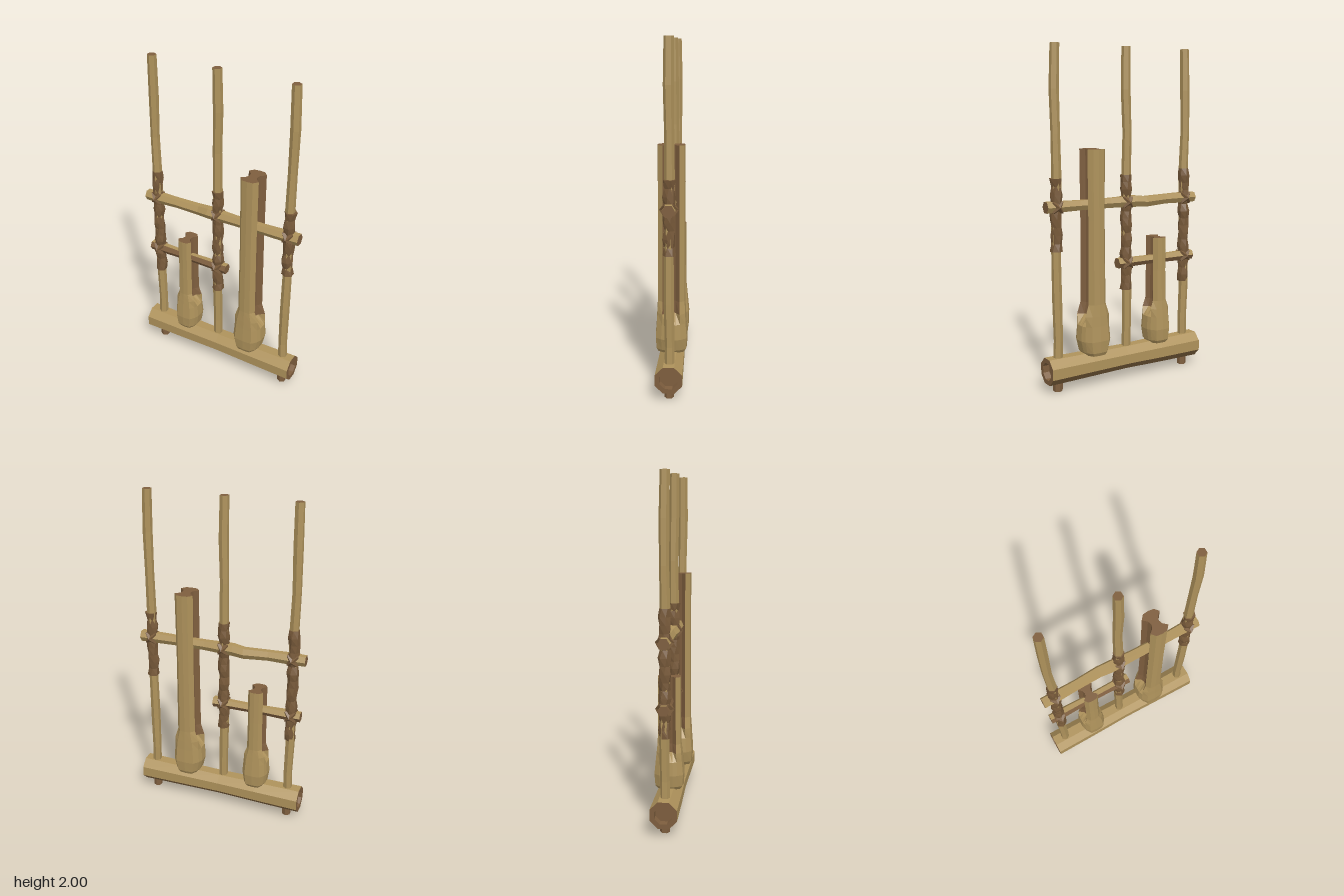
import * as THREE from 'three';

const mat = (name, color) => {
  const m = new THREE.MeshStandardMaterial({ color, flatShading: true });
  m.name = name;
  return m;
};

// Joins rings of points (counter-clockwise seen from above, rising in y) into a
// solid; the caps and the faces picked by isInner(i, k) form the second material group.
function loft(rings, isInner = () => false) {
  const n = rings[0].length;
  const outer = [], inner = [];
  const tri = (list, ...pts) => pts.forEach(p => list.push(p.x, p.y, p.z));
  for (let i = 0; i < rings.length - 1; i++) {
    for (let k = 0; k < n; k++) {
      const a = rings[i][k], b = rings[i][(k + 1) % n];
      const c = rings[i + 1][(k + 1) % n], d = rings[i + 1][k];
      const list = isInner(i, k) ? inner : outer;
      tri(list, a, b, d);
      tri(list, b, c, d);
    }
  }
  const centre = ring => ring.reduce((s, p) => s.add(p), new THREE.Vector3()).divideScalar(n);
  const low = rings[0], high = rings[rings.length - 1];
  const lowC = centre(low), highC = centre(high);
  for (let k = 0; k < n; k++) {
    const j = (k + 1) % n;
    tri(inner, lowC, low[j], low[k]);
    tri(inner, highC, high[k], high[j]);
  }
  const geo = new THREE.BufferGeometry();
  geo.setAttribute('position', new THREE.Float32BufferAttribute([...outer, ...inner], 3));
  geo.addGroup(0, outer.length / 3, 0);
  geo.addGroup(outer.length / 3, inner.length / 3, 1);
  geo.computeVertexNormals();
  return geo;
}

// Slightly crooked six-sided stick through levels of [y, xOffset, zOffset, radius]
function stick(levels, { twist = 0, isInner } = {}) {
  return loft(levels.map(([y, ox, oz, r], i) => Array.from({ length: 6 }, (_, k) => {
    const a = (k / 6) * Math.PI * 2 + i * twist;
    return new THREE.Vector3(ox + r * Math.sin(a), y, oz + r * Math.cos(a));
  })), isInner);
}

// Rattle tube outline: two curved faces with a groove of depth g on each side
function tubeRing([y, w, d, g]) {
  const waist = (full, cut) => full + (cut - full) * g;
  const half = [
    [0, d], [0.6 * w, 0.95 * d], [waist(0.88, 1) * w, 0.6 * d],
    [waist(1, 0.55) * w, 0.3 * d], [waist(1, 0.42) * w, 0], [waist(1, 0.55) * w, -0.3 * d],
    [waist(0.88, 1) * w, -0.6 * d], [0.6 * w, -0.95 * d], [0, -d],
  ];
  const mirrored = half.slice(1, -1).reverse().map(([x, z]) => [-x, z]);
  return [...half, ...mirrored].map(([x, z]) => new THREE.Vector3(x, y, z));
}

export function createModel() {
  const root = new THREE.Group();
  root.name = 'bambooRattle';
  const bamboo = mat('bamboo', 0xae925b);
  const darkBamboo = mat('darkBamboo', 0x836540);
  const cutWood = mat('cutWood', 0x7e5e3e);
  const binding = mat('binding', 0x785a3a);

  const add = (parent, name, geo, material, x = 0, y = 0, z = 0) => {
    const mesh = new THREE.Mesh(geo, material);
    mesh.name = name;
    mesh.position.set(x, y, z);
    parent.add(mesh);
    return mesh;
  };

  // Base tube, a little narrower in the middle, with a darker underside
  const base = new THREE.Group();
  base.name = 'base';
  root.add(base);
  const lathe = pts => new THREE.LatheGeometry(pts.map(p => new THREE.Vector2(...p)), 8, Math.PI / 8)
    .rotateZ(-Math.PI / 2);
  const shell = lathe([[0.083, -0.53], [0.08, -0.25], [0.075, 0], [0.079, 0.25], [0.083, 0.525]]);
  shell.addGroup(0, 72, 1);
  shell.addGroup(72, 120, 0);
  add(base, 'baseTube', shell, [bamboo, darkBamboo], 0, 0.127);
  // Cut ends with hollow pockets
  add(base, 'baseEnds', lathe([
    [0.083, 0.525], [0.054, 0.525], [0.054, 0.485], [0, 0.485],
    [0, -0.485], [0.054, -0.485], [0.054, -0.53], [0.083, -0.53],
  ]), cutWood, 0, 0.127);

  // Upright posts with their bindings and the heights where bars cross
  const posts = [
    { name: 'rightPost', x: -0.45, through: true, wrap: [0.55, 1.27], joints: [0.715, 1.085] },
    { name: 'middlePost', x: -0.02, through: false, wrap: [0.55, 1.25], joints: [0.715, 1.085] },
    { name: 'leftPost', x: 0.453, through: true, wrap: [0.83, 1.25], joints: [1.085] },
  ];
  posts.forEach(({ name, x, through, wrap, joints }, n) => {
    const post = new THREE.Group();
    post.name = name;
    post.position.x = x;
    root.add(post);
    const levels = [0.12, 0.3, 0.55, 0.9, 1.25, 1.5, 1.75, 2].map((y, i) =>
      [y, 0.004 * Math.sin(i * 2.1 + n), 0.003 * Math.cos(i * 1.7 + n), i % 2 ? 0.027 : 0.029]);
    add(post, name + 'Pole', stick(levels), [bamboo, cutWood]);
    if (through) {
      add(post, name + 'Foot', stick([[0, 0.003, 0, 0.028], [0.12, 0, 0, 0.028]]), cutWood);
    }

    // Uneven turns of cord
    const turns = Math.round((wrap[1] - wrap[0]) / 0.045);
    const coils = Array.from({ length: turns + 1 }, (_, i) => [
      wrap[0] + (wrap[1] - wrap[0]) * i / turns,
      0.003 * Math.sin(i * 1.3 + n), 0.003 * Math.cos(i * 2.3 + n),
      0.034 + 0.004 * Math.sin(i * 2.7 + n),
    ]);
    add(post, name + 'Binding', stick(coils, { twist: 0.2 }), binding);

    // Crossed lashings
    for (const y of joints) {
      for (const s of [-1, 1]) {
        const loop = new THREE.TorusGeometry(0.04, 0.014, 4, 6)
          .rotateY(Math.PI / 2).rotateZ(s * Math.PI / 4);
        add(post, 'lashing', loop, binding, 0, y);
      }
    }
  });

  // Crossbars with cut ends, built upright and then laid along x
  const bar = (name, y, levels, options) =>
    add(root, name, stick(levels, options).rotateZ(-Math.PI / 2), [bamboo, cutWood], 0, y);
  bar('upperBar', 1.087, [
    [-0.525, 0, 0.003, 0.034], [-0.42, 0, 0.003, 0.036], [-0.3, 0, 0, 0.033],
    [-0.15, 0.006, -0.008, 0.036], [-0.08, 0, 0, 0.039], [0.1, 0, 0.003, 0.033],
    [0.3, 0, 0.003, 0.033], [0.45, 0, 0, 0.036], [0.52, 0, 0, 0.037],
  ]);
  // The lower bar is weathered on its front and underside
  bar('lowerBar', 0.716, [
    [-0.51, 0, 0, 0.032], [-0.42, 0, 0, 0.033], [-0.25, 0, 0, 0.028],
    [-0.08, 0, 0, 0.03], [0.045, 0, 0, 0.034],
  ], { isInner: (i, k) => k < 3 || k === 5 });

  // Grooved rattle tubes with swollen feet; the grooves are cut wood above the shoulder
  const rattle = (name, x, levels) => {
    const isGroove = (i, k) => levels[i][3] > 0.5 &&
      ((k >= 2 && k < 6) || (k >= 10 && k < 14));
    add(root, name, loft(levels.map(tubeRing), isGroove), [bamboo, cutWood], x);
  };
  rattle('tallRattle', 0.215, [
    [0.19, 0.065, 0.08, 0], [0.21, 0.08, 0.09, 0], [0.28, 0.097, 0.095, 0],
    [0.37, 0.09, 0.088, 0], [0.43, 0.08, 0.085, 1], [0.5, 0.058, 0.081, 1],
    [1.0, 0.055, 0.079, 1], [1.41, 0.058, 0.079, 1],
  ]);
  rattle('shortRattle', -0.238, [
    [0.19, 0.055, 0.07, 0], [0.21, 0.07, 0.083, 0], [0.28, 0.081, 0.088, 0],
    [0.36, 0.075, 0.08, 0], [0.41, 0.066, 0.075, 1], [0.46, 0.048, 0.07, 1],
    [0.65, 0.046, 0.067, 1], [0.855, 0.047, 0.067, 1],
  ]);

  return root;
}
